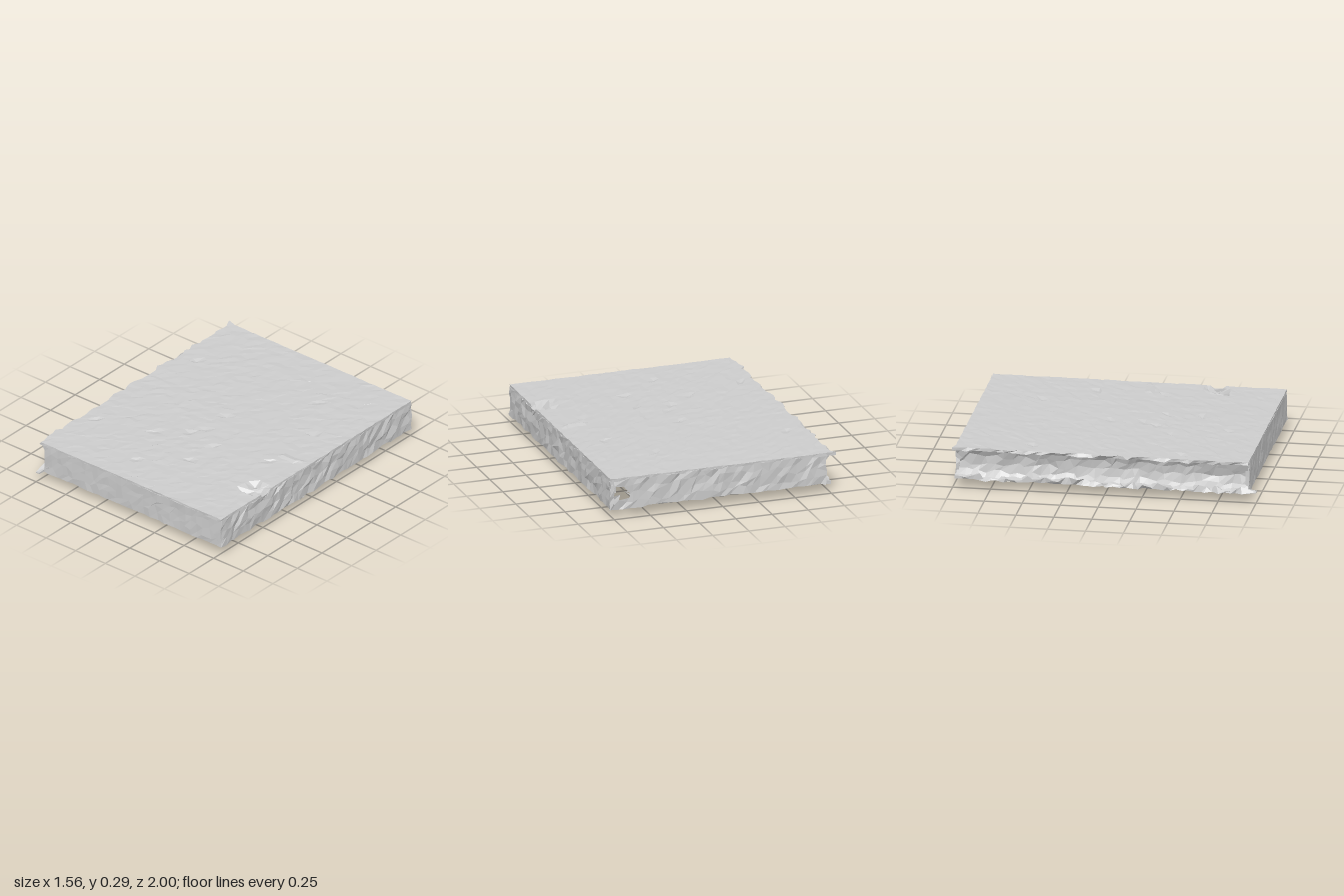
import * as THREE from 'three';

const material = new THREE.MeshStandardMaterial({ color: 0xcccccc, flatShading: true, side: THREE.DoubleSide });
const TOP = 0.278, BOTTOM = 0.066;

// Repeatable noise in -1..1 tied to position, so coincident corners stay together
function noise(p, seed) {
  const q = (n) => Math.round(n * 500);
  const s = Math.sin(q(p.x) * 12.9898 + q(p.y) * 78.233 + q(p.z) * 37.719 + seed * 4.17) * 43758.5453;
  return (s - Math.floor(s)) * 2 - 1;
}

// Box given by its limits, split into cells, roughened and shaped by an optional rule
function roughBox(name, [x0, x1], [y0, y1], [z0, z1], { cell = 0.05, amp = 0.006, rule, cut } = {}) {
  const low = [x0, y0, z0], high = [x1, y1, z1];
  const size = high.map((h, i) => h - low[i]);
  const seg = size.map((s) => Math.max(1, Math.round(s / cell)));
  const geo = new THREE.BoxGeometry(...size, ...seg);
  geo.translate((x0 + x1) / 2, (y0 + y1) / 2, (z0 + z1) / 2);
  const pos = geo.attributes.position;
  const p = new THREE.Vector3(), base = new THREE.Vector3();

  // Leave out the cells inside an opening
  if (cut) {
    const kept = [], old = geo.index.array;
    for (let i = 0; i < old.length; i += 3) {
      const c = new THREE.Vector3();
      for (let k = 0; k < 3; k++) c.add(p.fromBufferAttribute(pos, old[i + k]));
      if (!cut(c.divideScalar(3))) kept.push(old[i], old[i + 1], old[i + 2]);
    }
    geo.setIndex(kept);
  }
  for (let i = 0; i < pos.count; i++) {
    base.fromBufferAttribute(pos, i);
    p.copy(base);
    // Slide vertices along the faces more than across them
    for (let a = 0; a < 3; a++) {
      const b = base.getComponent(a);
      const inside = b > low[a] + 0.005 && b < high[a] - 0.005;
      const reach = inside ? Math.min(cell * 0.35, size[a] * 0.12) : amp * 0.7;
      p.setComponent(a, b + noise(base, a + 1) * reach);
    }
    if (rule) rule(p, base);
    pos.setXYZ(i, p.x, p.y, p.z);
  }
  geo.computeVertexNormals();
  const mesh = new THREE.Mesh(geo, material);
  mesh.name = name;
  return mesh;
}

export function createModel() {
  const group = new THREE.Group();
  group.name = 'roughTray';
  const add = (...args) => group.add(roughBox(...args));
  const heights = [BOTTOM, TOP - 0.012];

  // Ragged teeth along the right-hand edge
  const ragged = (p, base) => {
    if (base.x < -0.74) p.x = -0.752 - 0.03 * Math.max(0, noise(base, 5));
  };

  // Top slab with a few nicks and a broken dent near the left front edge
  add('topSlab', [-0.76, 0.77], [TOP - 0.02, TOP], [-0.985, 0.95], {
    cell: 0.045,
    amp: 0.003,
    rule: (p, base) => {
      ragged(p, base);
      if (noise(base, 9) > 0.98) p.y -= 0.01;
      const d = Math.hypot((base.x - 0.69) / 0.09, (base.z - 0.5) / 0.065);
      if (d < 1) p.y -= 0.03 + 0.02 * noise(base, 7);
      if (base.x < -0.75 && base.z < -0.98) p.set(-0.78, p.y + 0.005, -1);
    },
  });

  // Outer walls; the back one has a small opening by the left corner
  add('frontWall', [-0.72, 0.77], heights, [0.925, 0.95], { amp: 0.005 });
  add('backWall', [-0.72, 0.77], heights, [-0.985, -0.96], {
    amp: 0.01,
    cut: (c) => Math.hypot((c.x - 0.69) / 0.05, (c.y - 0.17) / 0.06) < 1,
  });
  add('leftWall', [0.745, 0.77], heights, [-0.985, 0.95], { amp: 0.012 });

  // Right wall is hollowed on its outer side into a channel between ragged lips
  add('rightWall', [-0.745, -0.695], heights, [-0.98, 0.945], {
    amp: 0.01,
    rule: (p, base) => {
      const t = (base.y - heights[0]) / (heights[1] - heights[0]);
      p.x += (base.x < -0.72 ? 0.035 : 0.01) * Math.sin(Math.PI * t);
    },
  });
  // Bottom lip tapers upward at its outer edge and ends in a front spur
  add('bottomLip', [-0.76, -0.72], [BOTTOM - 0.002, BOTTOM + 0.025], [-0.985, 0.95], {
    cell: 0.04,
    rule: (p, base) => {
      ragged(p, base);
      if (base.x < -0.74 && base.y > BOTTOM + 0.02) p.y += 0.02 * noise(base, 6);
      if (base.z > 0.94) p.set(p.x, 0.072 + (p.y - 0.072) * 0.4, 1);
    },
  });

  // Cross ribs: [from x, to x, z]
  const crossRibs = [
    [-0.7, 0.755, -0.56],
    [-0.7, 0.755, -0.05],
    [-0.7, 0.02, 0.47],
    [0.02, 0.755, 0.38],
    [0.1, 0.755, 0.095],
  ];
  for (const [x0, x1, z] of crossRibs) add('crossRib', [x0, x1], heights, [z - 0.016, z + 0.016], { amp: 0.01 });

  // Lengthwise ribs, stepped sideways from row to row: [x, from z, to z]
  const lengthRibs = [
    [-0.08, -0.965, -0.56],
    [-0.27, -0.56, -0.05],
    [0.12, -0.05, 0.38],
    [0.01, 0.38, 0.93],
  ];
  for (const [x, z0, z1] of lengthRibs) add('lengthRib', [x - 0.016, x + 0.016], heights, [z0, z1], { amp: 0.01 });

  // Rounded tab hanging below the rim, thinning towards its lower edge
  add('hangingTab', [0.31, 0.75], [0.005, 0.09], [0.045, 0.125], {
    cell: 0.04,
    amp: 0.005,
    rule: (p, base) => {
      const t = (base.x - 0.31) / 0.44;
      const down = (0.09 - base.y) / 0.085;
      p.y += down * 0.05 * Math.min(1, Math.pow(Math.abs(2 * t - 1.1), 4));
      p.z = THREE.MathUtils.lerp(p.z, 0.1 + (p.z - 0.085) * 0.45, down);
      p.y = Math.max(0, p.y);
    },
  });

  // Low ridge on the top above the tab
  add('topRidge', [0.52, 0.76], [TOP - 0.01, TOP + 0.008], [0.02, 0.12], {
    amp: 0.003,
    rule: (p, base) => {
      const edge = Math.max(Math.abs(base.x - 0.64) / 0.12, Math.abs(base.z - 0.07) / 0.05);
      if (edge > 0.95) p.y = Math.min(p.y, TOP - 0.005);
    },
  });

  return group;
}
